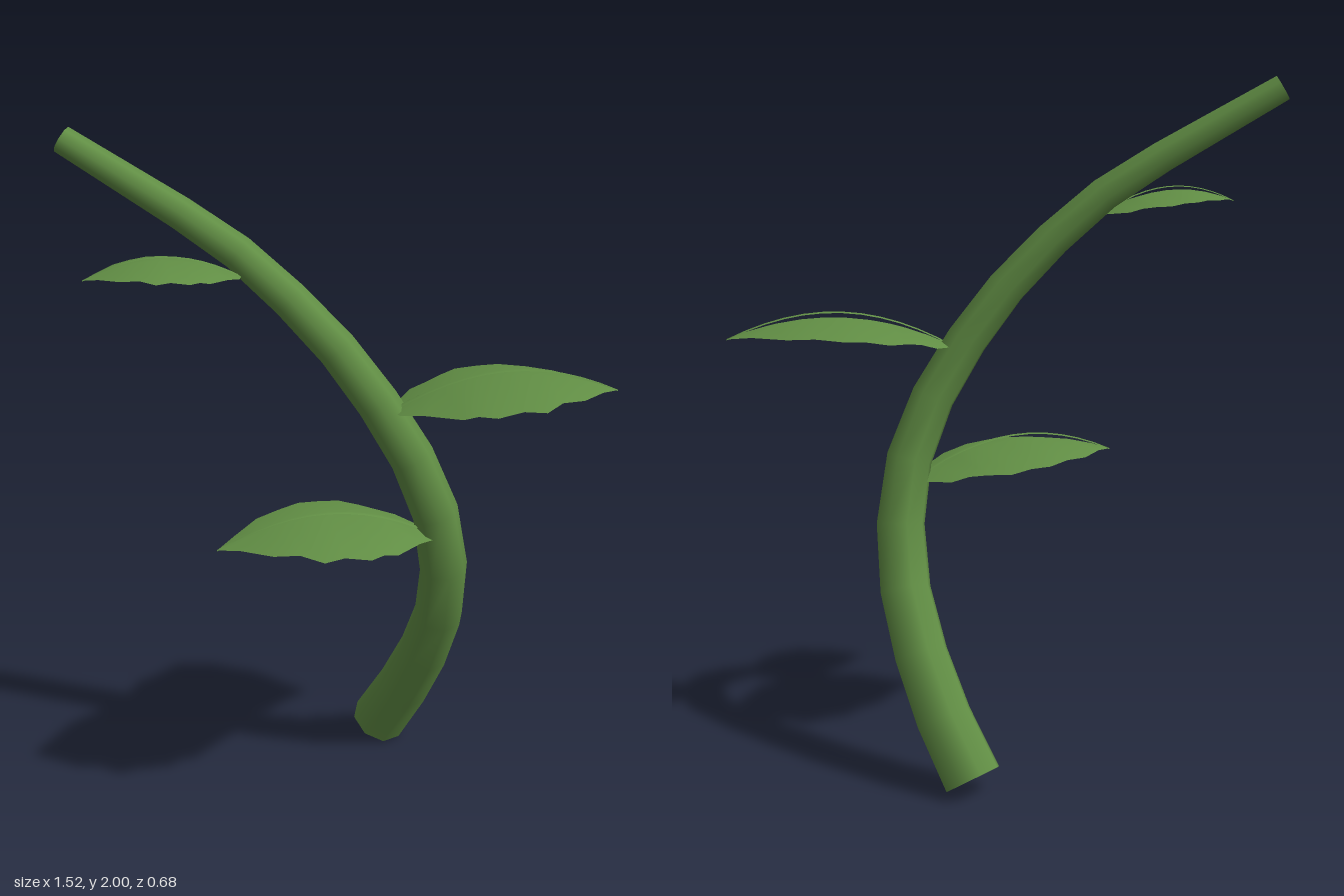
import * as THREE from 'three';

const green = new THREE.MeshStandardMaterial({ color: 0x628f45, side: THREE.DoubleSide });
green.name = 'leaf green';

function build(positions, index) {
  const g = new THREE.BufferGeometry();
  g.setAttribute('position', new THREE.Float32BufferAttribute(positions, 3));
  g.setIndex(index);
  g.computeVertexNormals();
  return g;
}

function part(name, geometry) {
  const m = new THREE.Mesh(geometry, green);
  m.name = name;
  return m;
}

// Bent stem that tapers from the foot to the tip, closed at both ends
function makeStem() {
  const curve = new THREE.CatmullRomCurve3([
    [0.167, 0.045, -0.267], [0.225, 0.2, -0.185], [0.272, 0.4, -0.075], [0.29, 0.6, 0.02],
    [0.27, 0.83, 0.075], [0.203, 1.03, 0.086], [0.112, 1.2, 0.07], [-0.025, 1.4, 0.025],
    [-0.21, 1.6, -0.045], [-0.32, 1.695, -0.09], [-0.74, 1.965, -0.265],
  ].map(p => new THREE.Vector3(...p)));
  const rings = 13, sides = 8;
  const tube = new THREE.TubeGeometry(curve, rings, 1, sides);
  const pos = tube.attributes.position, nor = tube.attributes.normal;
  for (let i = 0; i <= rings; i++) {
    const c = curve.getPointAt(i / rings), r = 0.086 - 0.047 * i / rings;
    for (let j = 0; j <= sides; j++) {
      const k = i * (sides + 1) + j;
      pos.setXYZ(k, c.x + nor.getX(k) * r, c.y + nor.getY(k) * r, c.z + nor.getZ(k) * r);
    }
  }
  const group = new THREE.Group();
  group.name = 'stem';
  group.add(part('stemTube', tube));
  // flat end caps, facing outward
  for (const end of [0, 1]) {
    const out = curve.getTangentAt(end).multiplyScalar(end ? 1 : -1);
    const c = curve.getPointAt(end), p = [c.x, c.y, c.z], idx = [];
    for (let j = 0; j < sides; j++) {
      const k = end * rings * (sides + 1) + j;
      p.push(pos.getX(k), pos.getY(k), pos.getZ(k));
    }
    const a = new THREE.Vector3(...p.slice(3, 6)).sub(c);
    const b = new THREE.Vector3(...p.slice(6, 9)).sub(c);
    const flip = a.cross(b).dot(out) < 0;
    for (let j = 0; j < sides; j++) {
      const u = 1 + j, v = 1 + (j + 1) % sides;
      idx.push(0, flip ? v : u, flip ? u : v);
    }
    group.add(part(end ? 'stemTip' : 'stemFoot', build(p, idx)));
  }
  return group;
}

// Toothed leaf edges as [x, z] pairs, from the stalk to the tip
const frontEdge = [[0, 0], [0.02, 0.05], [0.07, 0.1], [0.16, 0.2], [0.2, 0.21], [0.245, 0.245],
  [0.32, 0.24], [0.38, 0.26], [0.44, 0.21], [0.51, 0.19], [0.59, 0.12], [0.65, 0.075]];
const backEdge = [[0, 0], [0.04, -0.06], [0.09, -0.125], [0.14, -0.135], [0.19, -0.165], [0.245, -0.2],
  [0.31, -0.185], [0.37, -0.18], [0.44, -0.13], [0.51, -0.09], [0.59, 0.01], [0.65, 0.075]];
const arch = x => 0.517 * x - 0.7 * x * x;
const ribZ = x => x * 0.115;

// Arched leaf with drooping sides and a raised midrib; dir = 1 points left, -1 right
function makeLeaf(name, dir, scale, x, y, z) {
  const p = [], idx = [];
  const n = frontEdge.length;
  for (let i = 0; i < n; i++) {
    const mx = (frontEdge[i][0] + backEdge[i][0]) / 2;
    const rows = [backEdge[i], [mx, ribZ(mx)], frontEdge[i]];
    for (const [ex, ez] of rows)
      p.push(ex * dir, arch(ex) - 0.18 * Math.abs(ez - ribZ(ex)), ez);
  }
  const quad = (list, a, b, c, d) => dir > 0
    ? list.push(a, b, c, b, d, c) : list.push(a, c, b, b, c, d);
  for (let i = 0; i < n - 1; i++)
    for (let j = 0; j < 2; j++)
      quad(idx, i * 3 + j, i * 3 + j + 1, i * 3 + j + 3, i * 3 + j + 4);

  // narrow midrib strip that narrows toward the tip
  const rp = [], ri = [], steps = 12;
  for (let i = 0; i <= steps; i++) {
    const t = i / steps, rx = 0.65 * t, w = 0.009 * (1 - t) + 0.001;
    const ry = arch(rx) + 0.016 * Math.sin(Math.PI * t) + 0.001;
    rp.push(rx * dir, ry - 0.004, ribZ(rx) - w, rx * dir, ry, ribZ(rx), rx * dir, ry - 0.004, ribZ(rx) + w);
    if (i < steps)
      for (let j = 0; j < 2; j++)
        quad(ri, i * 3 + j, i * 3 + j + 1, i * 3 + j + 3, i * 3 + j + 4);
  }
  const leaf = new THREE.Group();
  leaf.name = name;
  leaf.add(part('blade', build(p, idx)), part('midrib', build(rp, ri)));
  leaf.position.set(x, y, z);
  leaf.scale.setScalar(scale);
  return leaf;
}

export function createModel() {
  const model = new THREE.Group();
  model.name = 'leafyStem';
  model.add(
    makeStem(),
    makeLeaf('lowerLeaf', -1, 1, 0.25, 0.84, 0.08),
    makeLeaf('middleLeaf', 1, 1, 0.11, 1.228, 0.08),
    makeLeaf('upperLeaf', -1, 0.68, -0.28, 1.608, -0.05),
  );
  return model;
}
